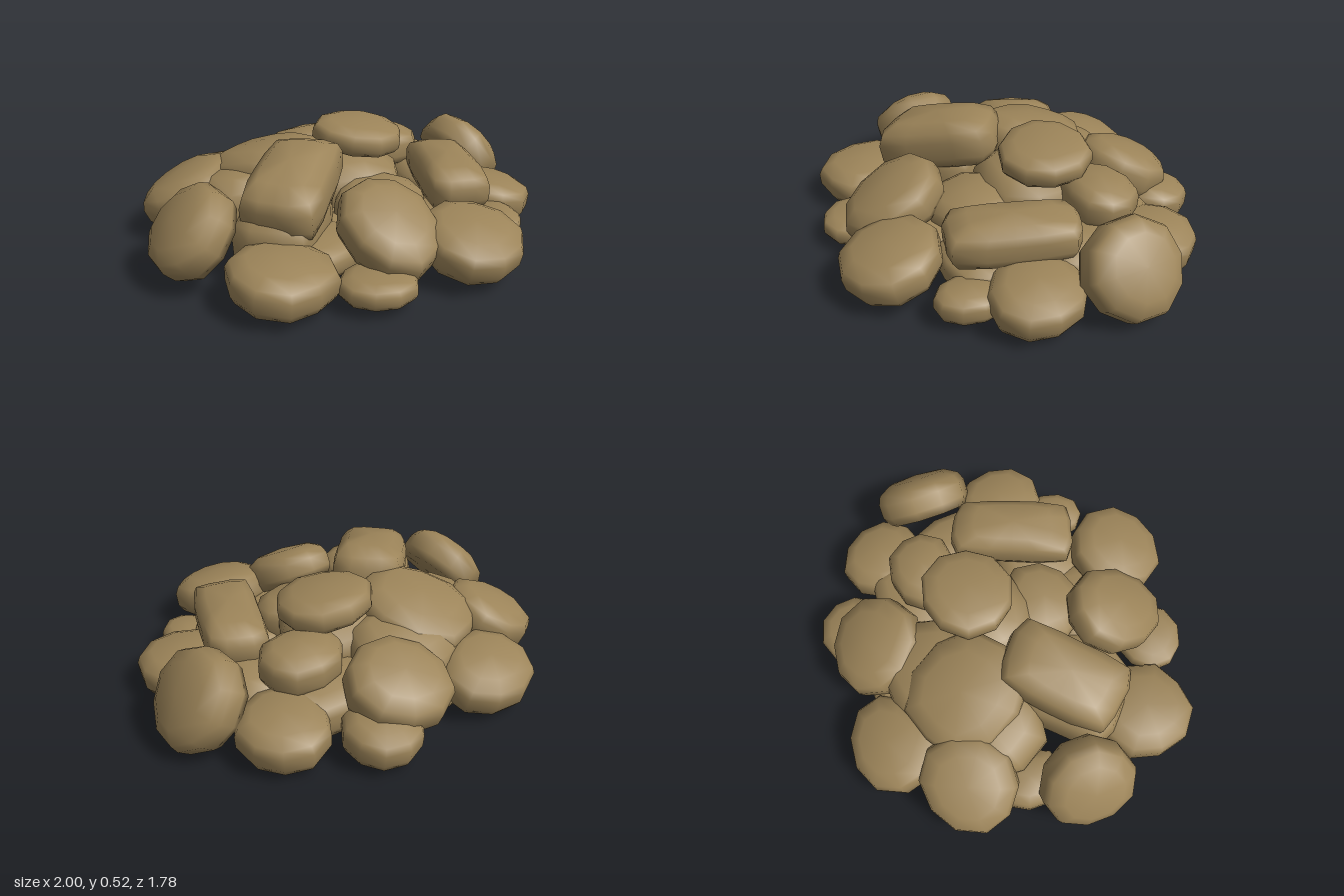
import * as THREE from 'three';
import { mergeVertices } from 'three/addons/utils/BufferGeometryUtils.js';

// Flat-bottomed, slightly irregular pebble of unit half-size; power > 2 makes the plan squarer
function pebble(seed, power) {
  const profile = [[0, -1], [0.91, -0.97], [1, -0.55], [1, 0.12], [0.92, 0.52], [0.64, 0.87], [0, 1]]
    .map(([r, y]) => new THREE.Vector2(r, y));
  let g = new THREE.LatheGeometry(profile, power > 3 ? 16 : 10);
  g.deleteAttribute('uv');
  g.deleteAttribute('normal');
  const p = g.attributes.position;
  for (let i = 0; i < p.count; i++) {
    const x = p.getX(i), z = p.getZ(i), a = Math.atan2(z, x);
    const square = (Math.abs(Math.cos(a)) ** power + Math.abs(Math.sin(a)) ** power) ** (-1 / power);
    const k = square * (1 + 0.025 * Math.sin(3 * a + seed * 1.7));
    p.setX(i, x * k);
    p.setZ(i, z * k);
  }
  g = mergeVertices(g, 1e-4);
  g.computeVertexNormals();
  return g;
}

// Each stone: x, y, z, half width, half height, half depth, tilt x, yaw, tilt z, plan power
const piles = {
  rimStone: [
    [-0.34, 0.155, -0.695, 0.24, 0.09, 0.205, -0.25, 0.2, 0, 2],
    [0.12, 0.24, -0.62, 0.24, 0.10, 0.225, -0.38, -0.4, 0, 2],
    [0.27, 0.12, -0.70, 0.18, 0.08, 0.17, -0.08, 0, 0, 2],
    [0.595, 0.135, -0.45, 0.20, 0.09, 0.21, -0.08, 0, -0.1, 2],
    [0.835, 0.215, -0.16, 0.225, 0.105, 0.23, 0, 0, -0.95, 2],
    [0.69, 0.135, 0.215, 0.205, 0.085, 0.22, 0.03, 0.3, -0.12, 2],
    [0.545, 0.10, 0.45, 0.12, 0.06, 0.16, 0, -0.3, 0, 2],
    [0.22, 0.175, 0.67, 0.235, 0.09, 0.23, 0.25, 0, -0.02, 2],
    [-0.105, 0.25, 0.52, 0.215, 0.095, 0.255, 0.50, 0, 0, 2],
    [-0.25, 0.09, 0.66, 0.17, 0.052, 0.16, 0, 0, 0, 2],
    [-0.595, 0.135, 0.475, 0.22, 0.085, 0.23, 0.07, 0.3, -0.03, 2.4],
    [-0.835, 0.235, 0.085, 0.215, 0.10, 0.225, 0, 0, 0.83, 2],
    [-0.645, 0.22, -0.42, 0.24, 0.09, 0.22, -0.20, 0.3, 0.40, 2],
    [-0.71, 0.12, -0.15, 0.13, 0.07, 0.15, 0, 0, 0, 3],
  ],
  upperSlab: [
    [-0.365, 0.375, 0.145, 0.29, 0.12, 0.175, 0.14, 0.78, 0.14, 7],
    [-0.27, 0.31, -0.30, 0.26, 0.11, 0.28, -0.23, 0.5, 0.12, 3],
    [0.15, 0.44, -0.14, 0.225, 0.065, 0.215, 0.09, 0, -0.09, 2],
    [0.385, 0.30, -0.29, 0.19, 0.09, 0.16, -0.03, 0, -0.04, 2.4],
    [0.445, 0.29, 0.195, 0.145, 0.095, 0.295, 0.02, -0.38, 0, 7],
  ],
  coreStone: [
    [0.06, 0.20, 0.20, 0.22, 0.10, 0.20, 0.15, 0, 0, 2],
    [-0.42, 0.21, 0.16, 0.25, 0.15, 0.18, 0.08, 0.78, 0.08, 6],
    [-0.42, 0.20, -0.25, 0.25, 0.15, 0.26, -0.10, 0, 0.10, 3],
    [-0.10, 0.23, -0.40, 0.25, 0.13, 0.24, -0.18, 0.3, 0, 3],
    [0.06, 0.21, -0.10, 0.26, 0.17, 0.24, 0, 0, 0, 3],
    [0.32, 0.14, -0.36, 0.25, 0.10, 0.20, 0, 0, 0, 3],
    [0.53, 0.14, -0.08, 0.17, 0.10, 0.22, 0, 0, 0, 3],
    [0.36, 0.12, 0.28, 0.22, 0.08, 0.20, 0, 0, 0, 3],
    [0.02, 0.11, 0.40, 0.22, 0.065, 0.20, 0, 0, 0, 3],
    [-0.33, 0.11, 0.28, 0.23, 0.07, 0.20, 0, 0.4, 0, 3],
    [-0.08, 0.11, -0.55, 0.24, 0.07, 0.16, 0, 0, 0, 3],
    [-0.12, 0.105, 0.03, 0.28, 0.07, 0.28, 0, 0.3, 0, 3],
  ],
};

export function createModel() {
  const stone = new THREE.MeshStandardMaterial({ color: 0x9c8459 });
  stone.name = 'tan stone';
  const pile = new THREE.Group();
  pile.name = 'stonePile';
  let seed = 0;
  for (const [name, stones] of Object.entries(piles)) {
    stones.forEach(([x, y, z, w, h, d, tx, yaw, tz, power], i) => {
      const mesh = new THREE.Mesh(pebble(++seed, power), stone);
      mesh.name = name + (i + 1);
      mesh.scale.set(w, h, d);
      mesh.rotation.set(tx, yaw, tz, 'ZXY');
      mesh.position.set(x, y, z);
      pile.add(mesh);
    });
  }
  return pile;
}
